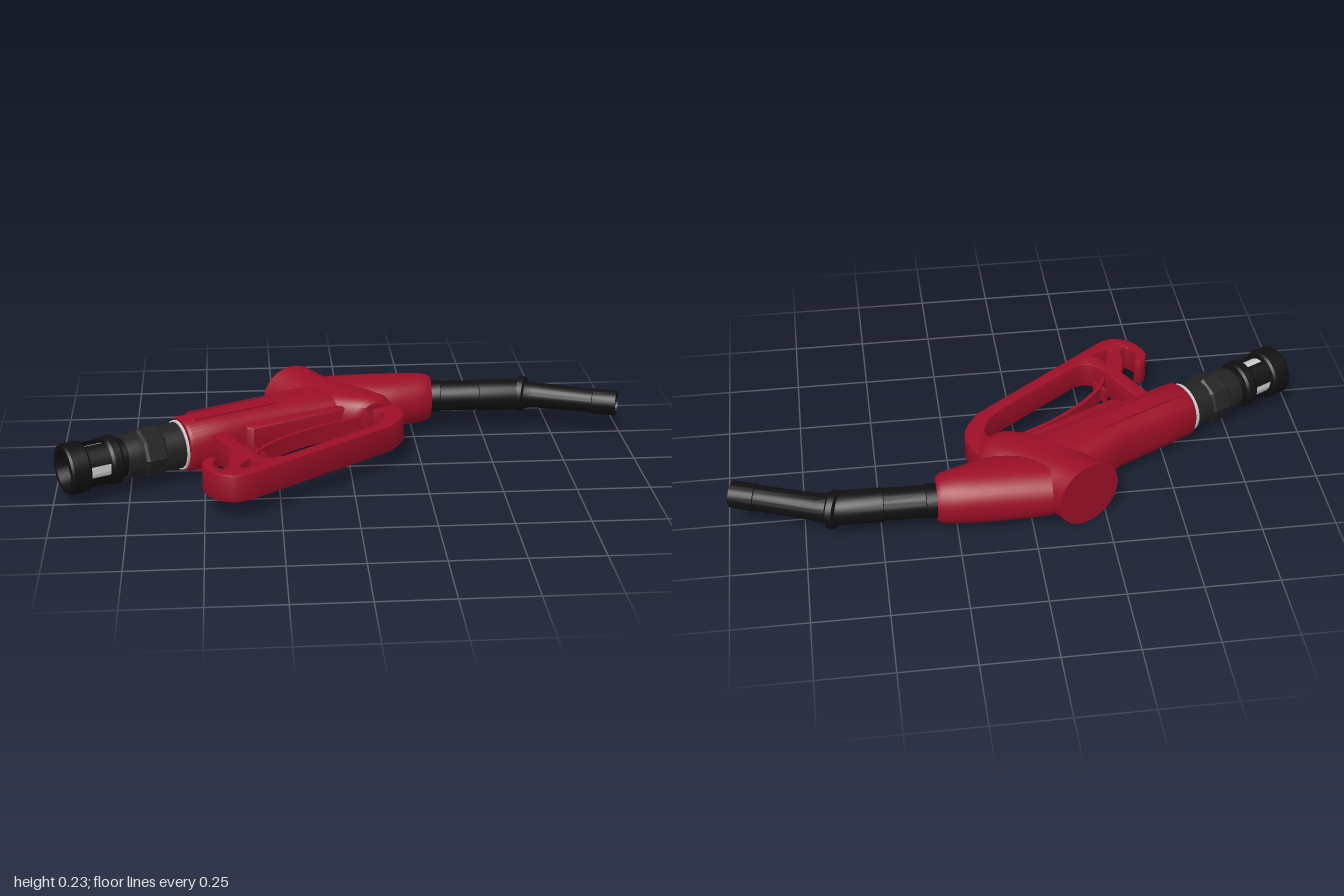
import * as THREE from 'three';
import { toCreasedNormals } from 'three/addons/utils/BufferGeometryUtils.js';

const CY = 0.117;                       // mid-plane height of the whole nozzle
const GRIP = Math.atan2(0.447, 0.894);  // grip direction in plan
const mat = (color, side = THREE.FrontSide) => new THREE.MeshStandardMaterial({ color, side });
const red = mat(0x9c0f27), black = mat(0x101010), dark = mat(0x222222);
const darkOpen = mat(0x101010, THREE.DoubleSide), silver = mat(0xcccccc);

// Loft through upright rings: [x, z, heading, half width, half height, squareness]
function loft(sections, seg = 40) {
  const pos = [], idx = [], n = sections.length;
  const power = (v, e) => Math.sign(v) * Math.pow(Math.abs(v), e);
  for (const [x, z, a, w, h, sq = 2] of sections) {
    for (let j = 0; j < seg; j++) {
      const t = (j / seg) * Math.PI * 2;
      const u = w * power(Math.cos(t), 2 / sq), v = h * power(Math.sin(t), 2 / sq);
      pos.push(x - Math.sin(a) * u, CY + v, z - Math.cos(a) * u);
    }
  }
  for (const i of [0, n - 1]) pos.push(sections[i][0], CY, sections[i][1]);
  for (let j = 0; j < seg; j++) {
    const k = (j + 1) % seg, e = (n - 1) * seg;
    for (let i = 0; i < n - 1; i++) {
      const p = i * seg, q = p + seg;
      idx.push(p + j, p + k, q + j, p + k, q + k, q + j);
    }
    idx.push(n * seg, k, j, n * seg + 1, e + j, e + k);
  }
  const g = new THREE.BufferGeometry();
  g.setAttribute('position', new THREE.Float32BufferAttribute(pos, 3));
  g.setIndex(idx);
  return toCreasedNormals(g, 0.6);
}

// Points of a smooth curve in plan
const smooth = (pts, n = 40) =>
  new THREE.SplineCurve(pts.map(([x, z]) => new THREE.Vector2(x, z))).getPoints(n);
const pts2 = (pts) => pts.map(([x, z]) => new THREE.Vector2(x, z));

// Plan outline extruded vertically about the mid-plane
function plate(outline, holes, thickness, bevel) {
  const shape = new THREE.Shape(outline);
  holes.forEach((h) => shape.holes.push(new THREE.Path(h)));
  const depth = thickness - 2 * bevel;
  const g = new THREE.ExtrudeGeometry(shape, {
    depth, bevelEnabled: bevel > 0, bevelSize: bevel, bevelThickness: bevel, bevelOffset: -bevel, bevelSegments: 2,
  });
  g.rotateX(Math.PI / 2);
  g.translate(0, CY + depth / 2, 0);
  return toCreasedNormals(g, 0.6);
}

export function createModel() {
  const root = new THREE.Group();
  const add = (name, geo, material, parent = root) => {
    const m = new THREE.Mesh(geo, material);
    m.name = name;
    parent.add(m);
    return m;
  };

  // Grip, widening into the valve body
  add('grip', loft([
    [-0.58, 0.04, GRIP, 0.086, 0.088, 2.2],
    [-0.572, 0.036, GRIP, 0.091, 0.093, 2.3],
    [-0.45, -0.025, GRIP, 0.09, 0.094, 2.6],
    [-0.30, -0.10, GRIP, 0.09, 0.094, 2.8],
    [-0.21, -0.155, GRIP, 0.105, 0.094, 2.8],
    [-0.08, -0.22, GRIP, 0.12, 0.09, 2.6],
  ]), red);

  // Valve body: flared drum with a flat round end
  const cross = GRIP - Math.PI / 2;
  add('valveDrum', loft([
    [-0.185, -0.383, cross, 0.117, 0.117],
    [-0.165, -0.36, cross, 0.116, 0.113],
    [-0.125, -0.315, cross, 0.118, 0.103, 2.1],
    [-0.07, -0.26, cross, 0.125, 0.096, 2.3],
    [0.0, -0.2, cross, 0.125, 0.092, 2.5],
    [0.07, -0.15, cross, 0.1, 0.09, 2.5],
    [0.09, -0.125, cross, 0.08, 0.082, 2.5],
    [0.098, -0.115, cross, 0.06, 0.07, 2.5],
  ]), red);

  // Barrel leading to the spout socket
  add('spoutSocket', loft([
    [-0.06, -0.33, 0, 0.1, 0.088],
    [0.02, -0.315, 0, 0.116, 0.092, 2.2],
    [0.11, -0.315, 0, 0.115, 0.093, 2.3],
    [0.19, -0.325, 0, 0.104, 0.092, 2.2],
    [0.265, -0.336, 0, 0.09, 0.09],
    [0.3, -0.34, 0, 0.08, 0.085],
    [0.316, -0.343, 0, 0.07, 0.074],
  ]), red);

  // Ridge under the grip, parallel to it
  const ridge = new THREE.Group();
  ridge.name = 'leverHousing';
  ridge.position.set(-0.18, CY, -0.05);
  ridge.rotation.y = GRIP;
  root.add(ridge);
  add('housingBlock', plate(pts2([[-0.205, -0.05], [0.22, -0.05], [0.22, 0.022], [-0.18, 0.022], [-0.2, 0.008]]), [], 0.12, 0.01)
    .translate(0, -CY, 0), red, ridge);

  // Slim ribs along both faces of the grip
  for (const s of [1, -1]) {
    for (const off of [-0.035, 0.035]) {
      const rib = add('gripRib', new THREE.BoxGeometry(0.32, 0.006, 0.007), red);
      rib.position.set(-0.4 + Math.sin(GRIP) * off, CY + s * 0.093, -0.05 + Math.cos(GRIP) * off);
      rib.rotation.y = GRIP;
    }
  }

  // Trigger guard with hanging hook and strut
  const outline = [
    ...smooth([[0.16, -0.19], [0.185, -0.13], [0.19, -0.05], [0.14, 0.04]], 20),
    ...smooth([[-0.315, 0.385], [-0.36, 0.415], [-0.41, 0.426], [-0.47, 0.395], [-0.504, 0.33], [-0.495, 0.28], [-0.475, 0.265]], 30),
    ...smooth([[-0.457, 0.278], [-0.467, 0.325], [-0.445, 0.362], [-0.42, 0.345], [-0.416, 0.28], [-0.4, 0.215]], 24),
    ...pts2([[-0.485, 0.06], [-0.44, 0.035]]),
    ...smooth([[-0.353, 0.195], [-0.325, 0.245], [-0.285, 0.278], [-0.24, 0.272]], 16),
    ...smooth([[0.03, 0.07], [0.09, 0.015], [0.12, -0.05], [0.115, -0.09], [0.06, -0.13]], 20),
  ];
  add('triggerGuard', plate(outline, [pts2([[-0.35, 0.285], [-0.385, 0.35], [-0.37, 0.362], [-0.31, 0.335]])], 0.097, 0.006), red);

  // Thin curved trigger lever and its catch
  const leverPath = [[-0.34, 0.215], [-0.305, 0.145], [-0.22, 0.055], [-0.1, -0.03], [0.04, -0.1]];
  const inner = leverPath.map(([x, z]) => [x + 0.008, z + 0.011]).reverse();
  add('triggerLever', plate([...smooth(leverPath), ...smooth(inner)], [], 0.06, 0), red);
  const latch = add('leverCatch', new THREE.BoxGeometry(0.014, 0.05, 0.065), red);
  latch.position.set(-0.315, CY, 0.17);
  latch.rotation.y = 0.5;

  // Bent spout with hollow tip
  const bend = -0.36;
  add('spout', loft([
    [0.27, -0.35, 0, 0.055, 0.055], [0.35, -0.35, 0, 0.058, 0.058], [0.352, -0.35, 0, 0.054, 0.054],
    [0.49, -0.348, 0, 0.054, 0.054], [0.492, -0.348, 0, 0.057, 0.057], [0.62, -0.348, 0, 0.057, 0.057],
    [0.66, -0.346, bend / 2, 0.052, 0.052], [0.7, -0.335, bend, 0.046, 0.046], [0.9, -0.26, bend, 0.043, 0.043],
    [0.902, -0.259, bend, 0.046, 0.046], [0.98, -0.23, bend, 0.045, 0.045],
    [0.981, -0.2295, bend, 0.036, 0.036], [0.92, -0.252, bend, 0.036, 0.036],
  ]), black);
  add('spoutCollar', loft([
    [0.637, -0.357, bend, 0.055, 0.058], [0.643, -0.355, bend, 0.064, 0.064],
    [0.662, -0.348, bend, 0.064, 0.064], [0.668, -0.346, bend, 0.055, 0.058],
  ]), black);

  // Swivel hose coupling, built along local x from its open end
  const coupling = new THREE.Group();
  coupling.name = 'hoseCoupling';
  coupling.position.set(-0.962, CY, 0.231);
  coupling.rotation.y = GRIP;
  root.add(coupling);
  const turned = (name, profile, material, seg = 40) => {
    const g = new THREE.LatheGeometry(profile.map(([s, r]) => new THREE.Vector2(r, s)), seg);
    g.rotateZ(-Math.PI / 2);
    return add(name, toCreasedNormals(g, 0.5), material, coupling);
  };
  turned('endCap', [[0.04, 0], [0.04, 0.06], [0, 0.066], [0, 0.082], [0.008, 0.087], [0.062, 0.087], [0.07, 0.08], [0.07, 0.05]], darkOpen);
  turned('innerSleeve', [[0.05, 0.062], [0.16, 0.062]], silver);
  // Cage wall leaves four windows open
  const gap = 0.5;
  for (let k = 0; k < 4; k++) {
    const g = new THREE.CylinderGeometry(0.077, 0.077, 0.09, 12, 1, true, k * Math.PI / 2 + gap / 2, Math.PI / 2 - gap);
    g.rotateZ(-Math.PI / 2);
    add('cageWall', g, darkOpen, coupling).position.x = 0.107;
  }
  turned('cageFlange', [[0.145, 0.05], [0.145, 0.077], [0.155, 0.083], [0.18, 0.083], [0.188, 0.076], [0.19, 0.066],
    [0.215, 0.066], [0.22, 0.05]], darkOpen);
  turned('swivelNeck', [[0.205, 0.05], [0.208, 0.072], [0.25, 0.076], [0.265, 0.076], [0.268, 0.05]], dark);
  turned('hexNut', [[0.262, 0.05], [0.265, 0.08], [0.275, 0.088], [0.335, 0.088], [0.345, 0.08], [0.347, 0.05]], dark, 8);
  turned('swivelBase', [[0.34, 0.05], [0.342, 0.078], [0.415, 0.08], [0.418, 0.05]], dark);
  turned('jointRing', [[0.412, 0.06], [0.413, 0.086], [0.421, 0.086], [0.423, 0.06]], silver);
  return root;
}
